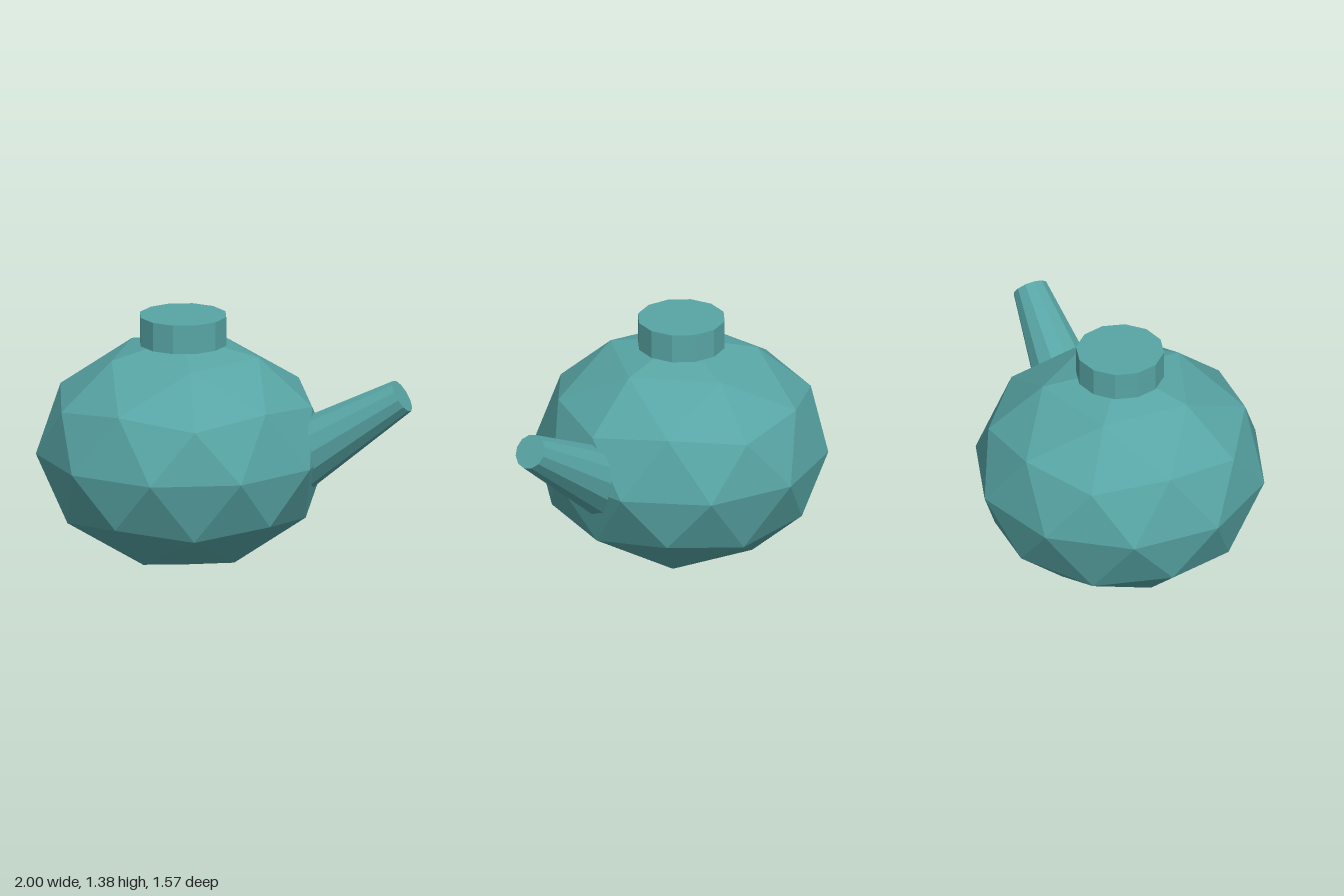
import * as THREE from 'three';

export function createModel() {
  const model = new THREE.Group();
  model.name = 'teapot';

  const teal = new THREE.MeshStandardMaterial({ color: 0x58a5a5 });
  teal.name = 'teal glaze';
  teal.flatShading = true;

  const add = (name, geometry, x, y, tilt = 0) => {
    const mesh = new THREE.Mesh(geometry, teal);
    mesh.name = name;
    mesh.position.set(x, y, 0);
    mesh.rotation.z = tilt;
    model.add(mesh);
  };

  // Faceted pot, turned so one corner points straight up, then squashed
  const pot = new THREE.IcosahedronGeometry(1, 1);
  pot.rotateZ(-Math.atan(2 / (1 + Math.sqrt(5))));
  pot.scale(0.787, 0.63, 0.787);
  pot.computeVertexNormals();
  add('body', pot, -0.25, 0.63);

  // Twelve-sided lid
  add('lid', new THREE.CylinderGeometry(0.236, 0.236, 0.157, 12), -0.25, 1.3);

  // Tapered spout leaning outwards
  add('spout', new THREE.CylinderGeometry(0.0944, 0.197, 0.787, 12), 0.615, 0.788, -1);

  return model;
}
